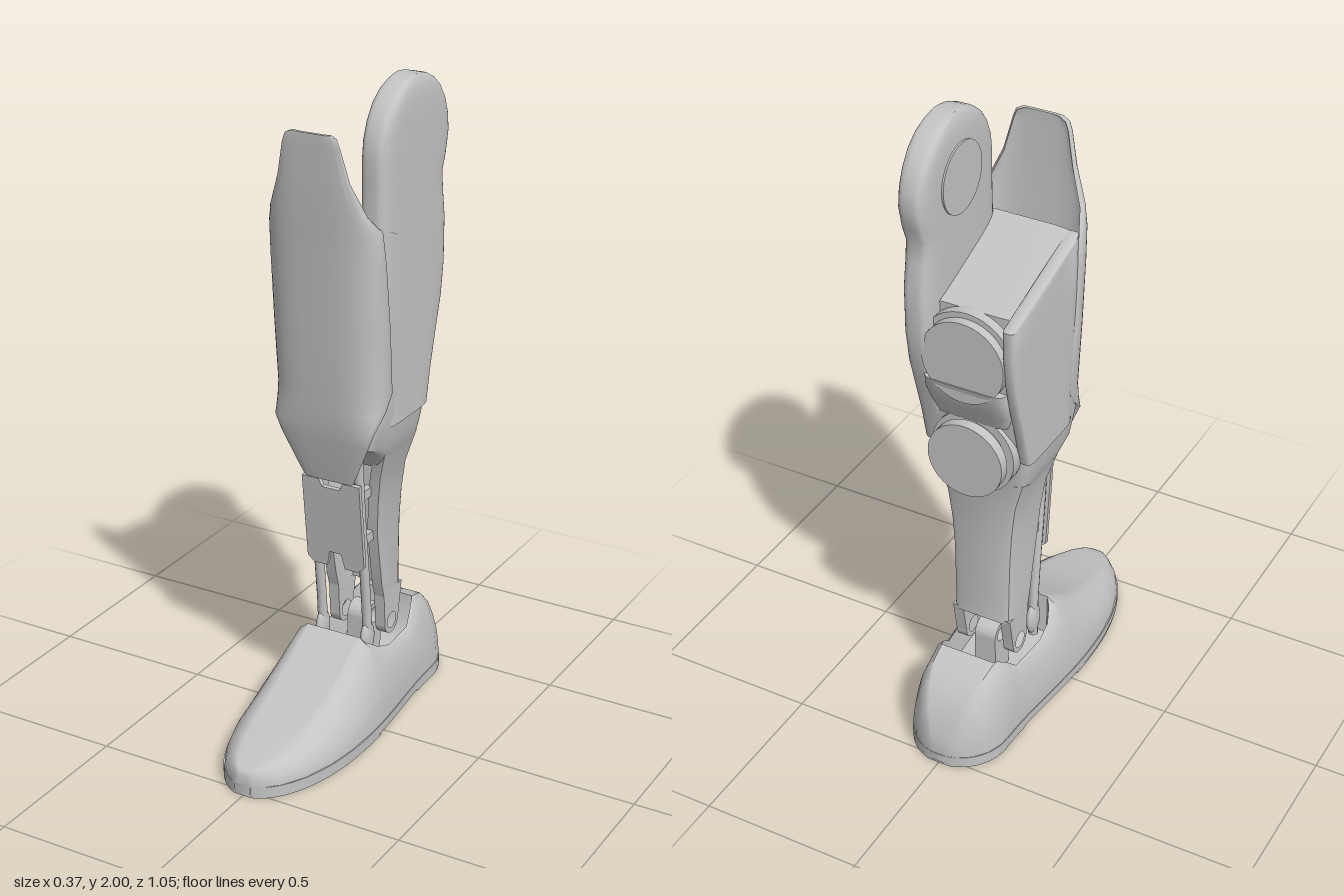
import * as THREE from 'three';
import { toCreasedNormals } from 'three/addons/utils/BufferGeometryUtils.js';

const grey = new THREE.MeshStandardMaterial({ color: 0xc4c4c4 });
grey.name = 'lightGrey';

// Skins a list of equal-length rings; ends are closed with strips pairing i and n-1-i
function loft(rings, crease = 0.6) {
  const n = rings[0].length, pos = rings.flat(2), idx = [];
  for (let r = 0; r < rings.length - 1; r++) {
    for (let i = 0; i < n; i++) {
      const a = r * n + i, b = r * n + (i + 1) % n;
      idx.push(a, b, a + n, b, b + n, a + n);
    }
  }
  const last = (rings.length - 1) * n;
  for (let i = 0; i < n / 2 - 1; i++) {
    const a = i, b = i + 1, c = n - 2 - i, d = n - 1 - i;
    idx.push(a, c, b, a, d, c);
    idx.push(last + a, last + b, last + c, last + a, last + c, last + d);
  }
  // Turn the faces outward when the enclosed volume comes out negative
  let volume = 0;
  const v = (i) => new THREE.Vector3().fromArray(pos, i * 3);
  for (let i = 0; i < idx.length; i += 3) volume += v(idx[i]).dot(v(idx[i + 1]).cross(v(idx[i + 2])));
  if (volume < 0) idx.reverse();
  const g = new THREE.BufferGeometry();
  g.setAttribute('position', new THREE.Float32BufferAttribute(pos, 3));
  g.setIndex(idx);
  return toCreasedNormals(g, crease);
}

const pow = (v, e) => Math.sign(v) * Math.abs(v) ** e;

// Horizontal rounded-rectangle ring; y may be a function of z for sloped tops
function roundRing(y, cx, hw, zf, zb, e = 0.35, n = 40) {
  return Array.from({ length: n }, (_, i) => {
    const a = ((i + 0.5) / n) * Math.PI * 2;
    const z = (zf + zb) / 2 + pow(Math.sin(a), e) * (zf - zb) / 2;
    return [cx + pow(Math.cos(a), e) * hw, typeof y === 'function' ? y(z) : y, z];
  });
}

// Half width of the foot in plan
function footWidth(z) {
  if (z > 0.1) return 0.187 * Math.max(0.02, 1 - ((z - 0.1) / 0.428) ** 2.3) ** 0.5;
  if (z < -0.37) return 0.152 * Math.max(0.02, 1 - ((z + 0.37) / 0.157) ** 2) ** 0.5;
  return THREE.MathUtils.lerp(0.152, 0.187, THREE.MathUtils.smoothstep(z, -0.37, 0.1));
}

export function createModel() {
  const model = new THREE.Group();
  model.name = 'prostheticLeg';
  const add = (name, geometry, x = 0, y = 0, z = 0) => {
    const m = new THREE.Mesh(geometry, grey);
    m.name = name;
    m.position.set(x, y, z);
    model.add(m);
    return m;
  };
  const extrude = (shape, depth) =>
    new THREE.ExtrudeGeometry(shape, { depth, bevelEnabled: false, curveSegments: 32 });

  // Foot shell: z, height, depth of ankle opening, side steepness
  const footStations = [
    [0.527, 0.07, 0, 1], [0.52, 0.08, 0, 1], [0.505, 0.088, 0, 1], [0.47, 0.097, 0, 1],
    [0.4, 0.115, 0, 1], [0.3, 0.145, 0, 1], [0.2, 0.18, 0, 1], [0.1, 0.235, 0, 1],
    [0.03, 0.28, 0, 1], [0, 0.295, 0, 1], [-0.015, 0.275, 0.45, 0.85], [-0.06, 0.245, 0.5, 0.6],
    [-0.12, 0.225, 0.5, 0.5], [-0.25, 0.222, 0.5, 0.5], [-0.29, 0.26, 0.5, 0.6],
    [-0.325, 0.285, 0.35, 0.75], [-0.335, 0.285, 0, 0.8], [-0.4, 0.265, 0, 0.85],
    [-0.45, 0.225, 0, 0.9], [-0.49, 0.165, 0, 0.9], [-0.515, 0.1, 0, 1], [-0.525, 0.06, 0, 1],
  ];
  const side = [[1, 0], [0.985, 0.2], [0.93, 0.45], [0.8, 0.72], [0.64, 0.93], [0.5, 1]];
  add('footShell', loft(footStations.map(([z, h, d, g]) => {
    const w = footWidth(z) * 0.985, base = 0.036;
    const half = side.map(([fx, fy]) => [w * (1 - (1 - fx) * g), base + (h - base) * fy]);
    const rim = half[5][0], floor = base + (h - base) * (1 - d);
    half.push([rim * 0.93, floor], [rim * 0.4, floor]);
    const top = [...half, ...half.slice().reverse().map(([x, y]) => [-x, y])];
    return [...top.map(([x, y]) => [x, y, z]), ...top.slice().reverse().map(([x]) => [x, base, z])];
  }), 0.7));

  // Sole slab with separate forefoot and heel treads
  const solePart = (name, z0, z1, y0, y1, scale) => {
    const right = Array.from({ length: 41 }, (_, i) => {
      const z = (z0 + z1) / 2 - Math.cos((i / 40) * Math.PI) * (z1 - z0) / 2;
      return [footWidth(z) * scale, z];
    });
    const outline = [...right, ...right.slice().reverse().map(([x, z]) => [-x, z])];
    add(name, loft([y0, y1].map((y) => outline.map(([x, z]) => [x, y, z]))));
  };
  solePart('sole', -0.526, 0.527, 0.009, 0.037, 1);
  solePart('forefootTread', 0.03, 0.524, 0, 0.01, 0.99);
  solePart('heelTread', -0.523, -0.26, 0, 0.01, 0.99);

  // Upper body with a top sloping down to the back
  const slope = (z) => 1.61 - 0.12 * Math.min(1, (0.02 - z) / 0.33) ** 0.8;
  const topY = (z) => slope(Math.min(z, 0.019));
  add('upperBody', loft([
    [0.84, 0.126, -0.06, -0.255], [0.89, 0.147, -0.02, -0.262], [0.93, 0.158, 0.035, -0.268],
    [1.02, 0.172, 0.05, -0.28], [1.1, 0.174, 0.035, -0.3], [1.3, 0.175, 0.03, -0.31],
    [1.45, 0.175, 0.02, -0.31], [topY, 0.175, 0.018, -0.31],
  ].map(([y, hw, zf, zb]) => roundRing(y, 0, hw, zf, zb, 0.25))));
  add('sideWall', loft([
    [1.0, -0.02, -0.275], [1.1, -0.02, -0.3], [1.2, 0, -0.33], [1.3, 0.01, -0.355],
    [1.4, 0.015, -0.368], [topY, 0.015, -0.37],
  ].map(([y, zf, zb]) => roundRing(y, -0.156, 0.022, zf, zb))));

  // Knee paddle: round head flowing into the outer side of the calf
  const head = [88, 80, 70, 58, 45, 30, 15, 0].map((deg) => {
    const a = (deg * Math.PI) / 180, r = 0.205 * Math.cos(a);
    return [1.795 + 0.205 * Math.sin(a), 0.047 * (1 - 0.35 * Math.sin(a) ** 8), -0.185 + r, -0.185 - r];
  });
  const calf = [
    [1.73, 0.018, -0.375], [1.68, 0.018, -0.355], [1.62, 0.02, -0.362], [1.54, 0.02, -0.375],
    [1.4, 0.015, -0.375], [1.3, 0.01, -0.36], [1.2, 0, -0.33], [1.1, -0.02, -0.3], [0.99, -0.02, -0.275],
  ].map(([y, zf, zb]) => [y, 0.047, zf, zb]);
  add('kneePaddle', loft([...head, ...calf].map(([y, hw, zf, zb]) => roundRing(y, 0.129, hw, zf, zb, 0.45))));
  const disc = (name, r, depth, x, y, z) =>
    add(name, new THREE.CylinderGeometry(r, r, depth, 48), x, y, z);
  disc('kneeDisc', 0.105, 0.008, 0.081, 1.81, -0.185).rotation.z = Math.PI / 2;

  // Lower shank: channel open to the front
  add('shankChannel', loft([
    [0.9, 0.148, -0.045, -0.262], [0.8, 0.118, -0.07, -0.252], [0.7, 0.106, -0.08, -0.25],
    [0.6, 0.1, -0.09, -0.25], [0.5, 0.098, -0.11, -0.252], [0.42, 0.097, -0.125, -0.253],
    [0.37, 0.097, -0.14, -0.255],
  ].map(([y, w, zf, zb]) => {
    const t = 0.034;
    const outer = [[w, zf], [w, zb + 0.025], [w - 0.008, zb + 0.008], [w - 0.025, zb]];
    const inner = [[w - t, zf], [w - t, zb + t + 0.01], [w - t - 0.005, zb + t], [w - t - 0.015, zb + t]];
    const mirror = (p) => p.slice().reverse().map(([x, z]) => [-x, z]);
    return [...outer, ...mirror(outer), ...inner.concat(mirror(inner)).reverse()].map(([x, z]) => [x, y, z]);
  })));

  // Ankle lugs and central tongue share one bored pivot; shape x runs along -z
  const lug = (name, top, bottom, x, thickness) => {
    const s = new THREE.Shape();
    if (top) {
      s.moveTo(0.14, 0.38); s.lineTo(0.252, 0.38); s.lineTo(0.232, 0.27);
      s.absarc(0.19, 0.27, 0.042, 0, -Math.PI, true);
    } else {
      s.moveTo(0.232, bottom); s.lineTo(0.232, 0.27);
      s.absarc(0.19, 0.27, 0.042, 0, Math.PI, false); s.lineTo(0.148, bottom);
    }
    s.closePath();
    s.holes.push(new THREE.Path().absarc(0.19, 0.27, 0.026, 0, Math.PI * 2, true));
    const g = extrude(s, thickness);
    g.translate(0, 0, -thickness / 2);
    add(name, g, x).rotation.y = Math.PI / 2;
  };
  for (const s of [-1, 1]) lug('ankleLug', true, 0, s * 0.08, 0.034);
  lug('ankleTongue', false, 0.12, 0, 0.07);

  // Curved front shin guard
  add('shinGuard', loft([
    [0.81, 0.08, 0.035, 0.027], [0.85, 0.1, 0.045, 0.033], [0.95, 0.145, 0.066, 0.05],
    [1.0, 0.165, 0.076, 0.05], [1.05, 0.174, 0.08, 0.0], [1.1, 0.178, 0.085, -0.03],
    [1.3, 0.181, 0.097, -0.01], [1.5, 0.18, 0.108, 0.015], [1.6, 0.176, 0.115, 0.03],
    [1.65, 0.155, 0.119, 0.075], [1.75, 0.115, 0.125, 0.107], [1.85, 0.092, 0.13, 0.122],
    [1.875, 0.083, 0.131, 0.123], [1.885, 0.065, 0.131, 0.124],
  ].map(([y, w, zf, zs]) => {
    const arc = (k, dz) => Array.from({ length: 25 }, (_, i) => {
      const a = (i / 24) * Math.PI;
      return [pow(Math.cos(a), 0.6) * (w - k), y, zs + Math.abs(Math.sin(a)) ** 0.75 * (zf - zs) - dz];
    });
    return [...arc(0, 0), ...arc(0.008, 0.01).reverse()];
  }), 0.8));

  // Notched lower front plate with stand-offs
  const plate = new THREE.Shape([
    [-0.075, 0], [-0.03, 0], [-0.02, 0.05], [0.02, 0.05], [0.03, 0], [0.075, 0], [0.097, 0.02],
    [0.097, 0.3], [0.04, 0.3], [0.03, 0.275], [-0.03, 0.275], [-0.04, 0.3], [-0.097, 0.3], [-0.097, 0.02],
  ].map(([x, y]) => new THREE.Vector2(x, y)));
  add('frontPlate', extrude(plate, 0.014), 0, 0.505, -0.03).rotation.x = 0.12;
  for (const s of [-1, 1]) {
    for (const [y, z] of [[0.75, -0.04], [0.6, -0.06]]) {
      add('plateStandOff', new THREE.BoxGeometry(0.02, 0.03, 0.085), s * 0.075, y, z);
    }
    // Slender struts running from the calf down into the foot
    const strut = new THREE.CatmullRomCurve3([
      [0.92, -0.005], [0.7, -0.025], [0.45, -0.055], [0.32, -0.068], [0.2, -0.07],
    ].map(([y, z]) => new THREE.Vector3(s * 0.078, y, z)));
    add('strut', new THREE.TubeGeometry(strut, 24, 0.015, 12));
    add('strutFoot', new THREE.SphereGeometry(1, 20, 14), s * 0.078, 0.26, -0.07).scale.set(0.017, 0.055, 0.034);
  }

  // Rear drive units facing backwards
  const drive = (name, r, z0, z1, y) =>
    disc(name, r, z0 - z1, -0.015, y, (z0 + z1) / 2).rotation.x = Math.PI / 2;
  drive('upperDriveCollar', 0.145, -0.28, -0.34, 1.35);
  drive('upperDriveCap', 0.128, -0.33, -0.368, 1.35);
  drive('lowerDriveCollar', 0.13, -0.25, -0.315, 1.02);
  drive('lowerDriveNeck', 0.105, -0.31, -0.335, 1.02);
  drive('lowerDriveCap', 0.118, -0.33, -0.363, 1.02);
  add('driveBridge', loft([
    [1.13, 0.11, -0.318], [1.18, 0.125, -0.34], [1.23, 0.13, -0.362], [1.27, 0.128, -0.372],
  ].map(([y, hw, zb]) => roundRing(y, -0.012, hw, -0.25, zb))));

  return model;
}
